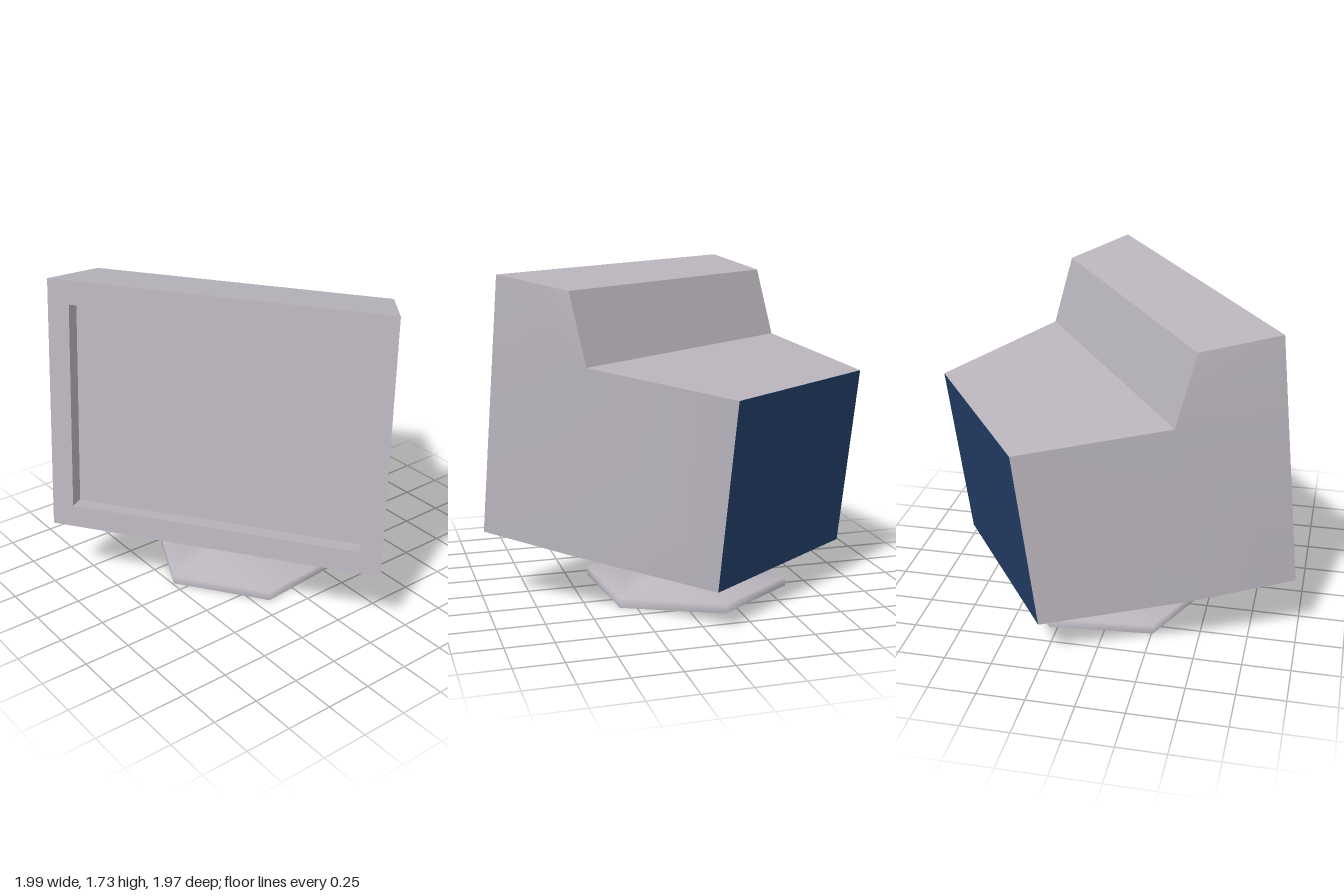
import * as THREE from 'three';
import { toCreasedNormals } from 'three/addons/utils/BufferGeometryUtils.js';

const casingGrey = new THREE.MeshStandardMaterial({ color: 0xbab5bd });
casingGrey.name = 'casingGrey';
const standGrey = casingGrey.clone();
standGrey.name = 'standGrey';
standGrey.side = THREE.DoubleSide;
const panelBlue = new THREE.MeshStandardMaterial({ color: 0x243f6a });
panelBlue.name = 'panelBlue';

// Mesh from convex faces, each a counter-clockwise list of points
function facesMesh(name, faces, material) {
  const pos = [];
  for (const f of faces) {
    for (let i = 1; i < f.length - 1; i++) pos.push(...f[0], ...f[i], ...f[i + 1]);
  }
  const g = new THREE.BufferGeometry();
  g.setAttribute('position', new THREE.Float32BufferAttribute(pos, 3));
  const mesh = new THREE.Mesh(toCreasedNormals(g, 0.35), material);
  mesh.name = name;
  return mesh;
}

export function createModel() {
  const model = new THREE.Group();
  model.name = 'monitor';
  const turned = new THREE.Group();
  turned.name = 'turnedMonitor';
  turned.rotation.y = 0.612;
  model.add(turned);

  const cx = -0.062; // middle of the monitor

  // Casing profile: z, y, half width; from the front top over the back to the front bottom
  const profile = {
    frontTop: [0.37, 1.73, 0.905],
    ridge: [-0.021, 1.665, 0.8],
    step: [-0.13, 1.3, 0.8],
    backTop: [-0.864, 1.19, 0.555],
    backBottom: [-0.753, 0.228, 0.555],
    midBottom: [-0.026, 0.325, 0.8],
    frontBottom: [0.52, 0.375, 0.905],
  };
  const at = (key, side) => {
    const [z, y, w] = profile[key];
    return [cx + side * w, y, z];
  };
  const strip = (a, b) => [at(a, 1), at(b, 1), at(b, -1), at(a, -1)];

  // Casing: top, bottom and mirrored sides
  const shell = [
    strip('frontTop', 'ridge'), strip('ridge', 'step'), strip('step', 'backTop'),
    strip('backBottom', 'midBottom'), strip('midBottom', 'frontBottom'),
  ];
  const sideFaces = [
    ['frontTop', 'step', 'ridge'],
    ['frontTop', 'frontBottom', 'midBottom', 'step'],
    ['step', 'midBottom', 'backBottom', 'backTop'],
  ];
  for (const keys of sideFaces) {
    shell.push(keys.map((k) => at(k, 1)));
    shell.push(keys.map((k) => at(k, -1)).reverse());
  }
  turned.add(facesMesh('casing', shell, casingGrey));
  turned.add(facesMesh('backPanel', [strip('backTop', 'backBottom')], panelBlue));

  // Front frame and recessed screen, all on the tilted front plane
  const [z0, y0] = profile.frontBottom;
  const [z1, y1] = profile.frontTop;
  const normal = new THREE.Vector2(y1 - y0, z0 - z1).normalize(); // z, y
  const rect = (half, t0, t1, depth) =>
    [[-1, t0], [1, t0], [1, t1], [-1, t1]].map(([s, t]) => [
      cx + s * half,
      y0 + (y1 - y0) * t - normal.y * depth,
      z0 + (z1 - z0) * t - normal.x * depth,
    ]);
  const outer = rect(0.905, 0, 1, 0);
  const opening = rect(0.788, 0.088, 0.908, 0);
  const glass = rect(0.788, 0.088, 0.908, 0.09);
  const ring = (a, b) => a.map((p, i) => [p, a[(i + 1) % 4], b[(i + 1) % 4], b[i]]);
  turned.add(facesMesh('frontFrame', ring(outer, opening), casingGrey));
  turned.add(facesMesh('screenRecess', ring(opening, glass), casingGrey));
  turned.add(facesMesh('screen', [glass], casingGrey));

  // Hollow six-sided stand, open underneath
  const standProfile = [[0.555, 0], [0.555, 0.05], [0.306, 0.092], [0.243, 0.36]]
    .map(([r, y]) => new THREE.Vector2(r, y));
  const stand = new THREE.Mesh(
    new THREE.LatheGeometry(standProfile, 6, Math.PI / 2), standGrey);
  stand.name = 'stand';
  stand.position.set(cx, 0, -0.118);
  turned.add(stand);

  return model;
}
